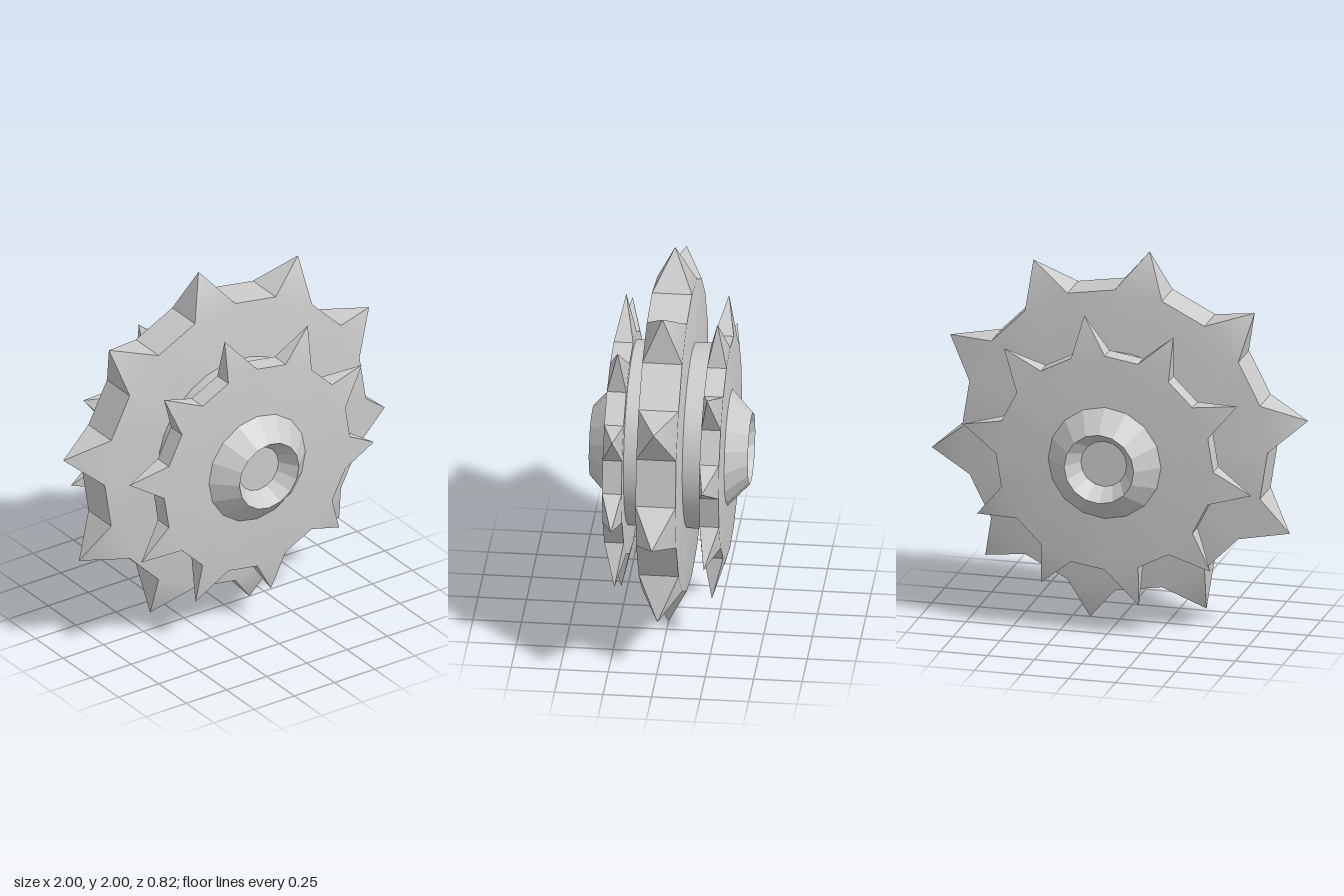
import * as THREE from 'three';
import { toCreasedNormals } from 'three/addons/utils/BufferGeometryUtils.js';

const SIDES = 20;
const material = new THREE.MeshStandardMaterial({ color: 0xcccccc });

// Thick 20-sided disc about z, with a four-sided spike on every other rim face.
// tipAt(angle, index) gives the spike's point.
function spikedDisc(name, radius, half, tipAt) {
  const pos = [];
  const tri = (...corners) => corners.forEach((c) => pos.push(c.x, c.y, c.z));
  const rim = (i, z) => {
    const a = (i / SIDES) * Math.PI * 2;
    return new THREE.Vector3(radius * Math.cos(a), radius * Math.sin(a), z);
  };
  const front = new THREE.Vector3(0, 0, half);
  const back = new THREE.Vector3(0, 0, -half);
  for (let i = 0; i < SIDES; i++) {
    const a = rim(i, half), b = rim(i + 1, half);
    const c = rim(i + 1, -half), d = rim(i, -half);
    tri(front, a, b);
    tri(back, c, d);
    if (i % 2) {
      const t = tipAt(((i + 0.5) / SIDES) * Math.PI * 2, i);
      tri(a, d, t);
      tri(d, c, t);
      tri(c, b, t);
      tri(b, a, t);
    } else {
      tri(a, d, c);
      tri(a, c, b);
    }
  }
  const geo = new THREE.BufferGeometry();
  geo.setAttribute('position', new THREE.Float32BufferAttribute(pos, 3));
  const mesh = new THREE.Mesh(toCreasedNormals(geo, 0.5), material);
  mesh.name = name;
  return mesh;
}

// Outer spiked disc and dished hub for one side, facing +z
function sideAssembly(name) {
  const group = new THREE.Group();
  group.name = name;

  // The tips lean slightly across the disc, and one spike is bent sideways
  const disc = spikedDisc('sideSpikedDisc', 0.577, 0.05, (a, i) => {
    const x = i === 5 ? -0.17 : 0.78 * Math.cos(a);
    return new THREE.Vector3(x, 0.78 * Math.sin(a), -0.02 * x);
  });
  disc.position.z = 0.25;
  group.add(disc);

  // Hub: cone up to a rim, then down to a recessed floor
  const profile = [[0.3, 0.29], [0.3, 0.3], [0.185, 0.41], [0.122, 0.315], [0, 0.315]]
    .map(([r, z]) => new THREE.Vector2(r, z));
  const lathe = new THREE.LatheGeometry(profile, 16).rotateX(Math.PI / 2).toNonIndexed();
  lathe.computeVertexNormals();
  const hub = new THREE.Mesh(lathe, material);
  hub.name = 'hub';
  group.add(hub);
  return group;
}

export function createModel() {
  const model = new THREE.Group();
  model.name = 'spikedWheel';

  // Large central disc
  const main = spikedDisc('mainSpikedDisc', 0.812, 0.103, (a) =>
    new THREE.Vector3(1.0125 * Math.cos(a), 1.0125 * Math.sin(a), 0));
  main.position.y = 1;
  model.add(main);

  // Drum joining the three discs
  const drum = new THREE.Mesh(
    new THREE.CylinderGeometry(0.48, 0.48, 0.42, 32).rotateX(Math.PI / 2), material);
  drum.name = 'drum';
  drum.position.y = 1;
  model.add(drum);

  // Side discs sit a little low; the back one is the front one turned over
  const front = sideAssembly('frontSide');
  const back = sideAssembly('backSide');
  back.rotation.x = Math.PI;
  for (const side of [front, back]) {
    side.position.y = 0.94;
    model.add(side);
  }
  return model;
}
